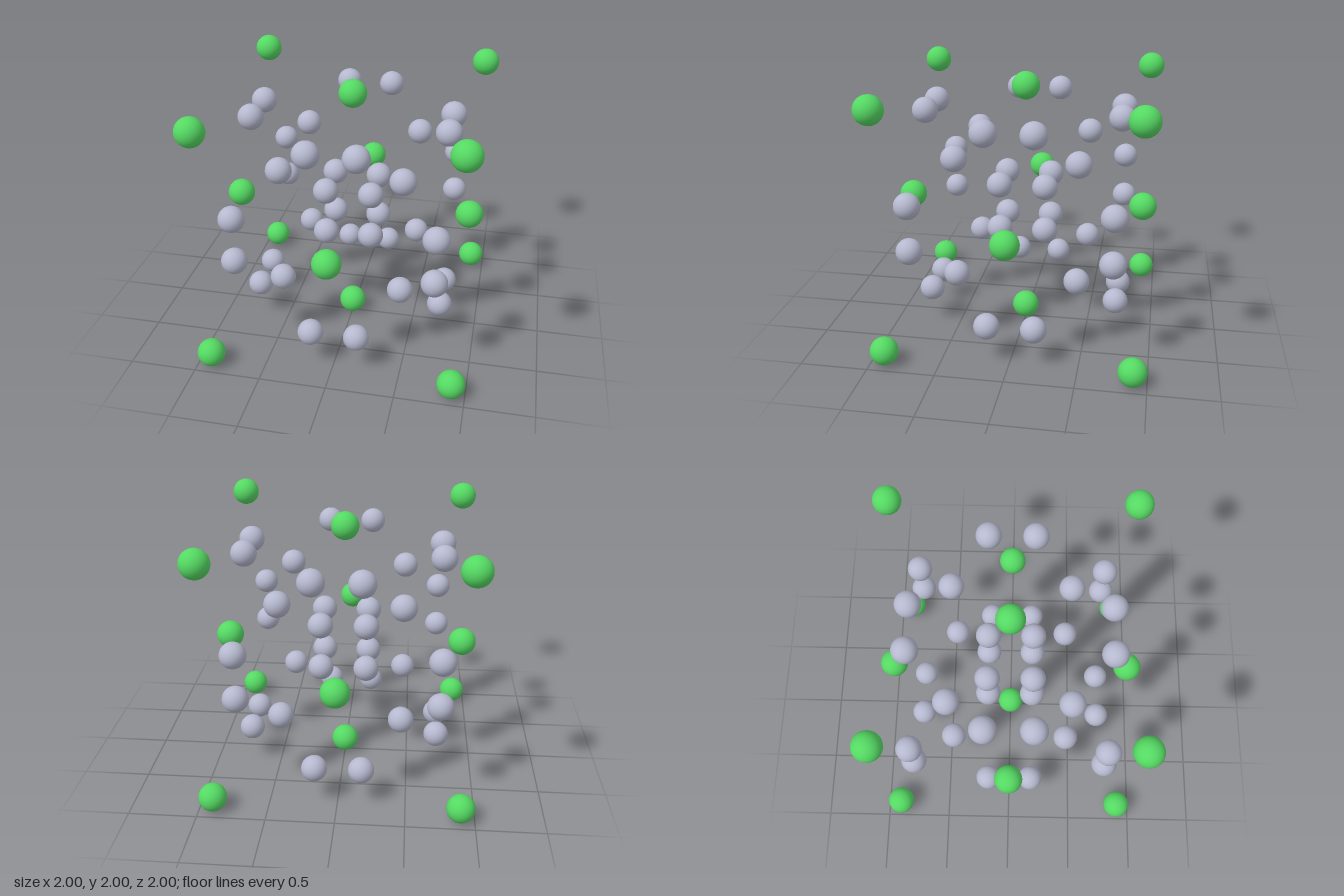
import * as THREE from 'three';

// Cubic crystal cell: a face-centred lattice of green atoms with grey atoms inside
const HALF = 0.896;   // half the cell edge
const NEAR = 0.172;   // grey offset from the cell's mid planes
const FAR = HALF - NEAR;

export function createModel() {
  const model = new THREE.Group();
  model.name = 'crystalCell';

  const green = new THREE.MeshStandardMaterial({ color: 0x55d963 });
  const grey = new THREE.MeshStandardMaterial({ color: 0xb6b9cf });
  const bigBall = new THREE.SphereGeometry(0.104, 32, 20);
  const smallBall = new THREE.SphereGeometry(0.096, 32, 20);

  const addGroup = (name) => {
    const group = new THREE.Group();
    group.name = name;
    group.position.y = 1;
    model.add(group);
    return group;
  };
  const addAtom = (group, name, geometry, material, x, y, z) => {
    const atom = new THREE.Mesh(geometry, material);
    atom.name = name;
    atom.position.set(x, y, z);
    group.add(atom);
  };
  // Visit every combination of three values
  const grid = (values, visit) => {
    for (const x of values) for (const y of values) for (const z of values) visit(x, y, z);
  };
  const count = (list, test) => list.filter(test).length;

  // Green atoms: eight corners and six face centres
  const lattice = addGroup('greenLattice');
  grid([-1, 0, 1], (x, y, z) => {
    const zeros = count([x, y, z], (v) => v === 0);
    if (zeros === 0 || zeros === 2) {
      const name = zeros ? 'faceAtom' : 'cornerAtom';
      addAtom(lattice, name, bigBall, green, x * HALF, y * HALF, z * HALF);
    }
  });

  // Grey atoms at the centres of the eight octants
  const octants = addGroup('octantAtoms');
  grid([-HALF / 2, HALF / 2], (x, y, z) => addAtom(octants, 'octantAtom', smallBall, grey, x, y, z));

  // Grey clusters: a cube round the cell centre and four atoms at each edge's middle
  const clusters = addGroup('greyClusters');
  grid([-FAR, -NEAR, NEAR, FAR], (x, y, z) => {
    const far = count([x, y, z], (v) => Math.abs(v) === FAR);
    if (far === 0 || far === 2) {
      addAtom(clusters, far ? 'edgeAtom' : 'centreAtom', smallBall, grey, x, y, z);
    }
  });

  return model;
}
